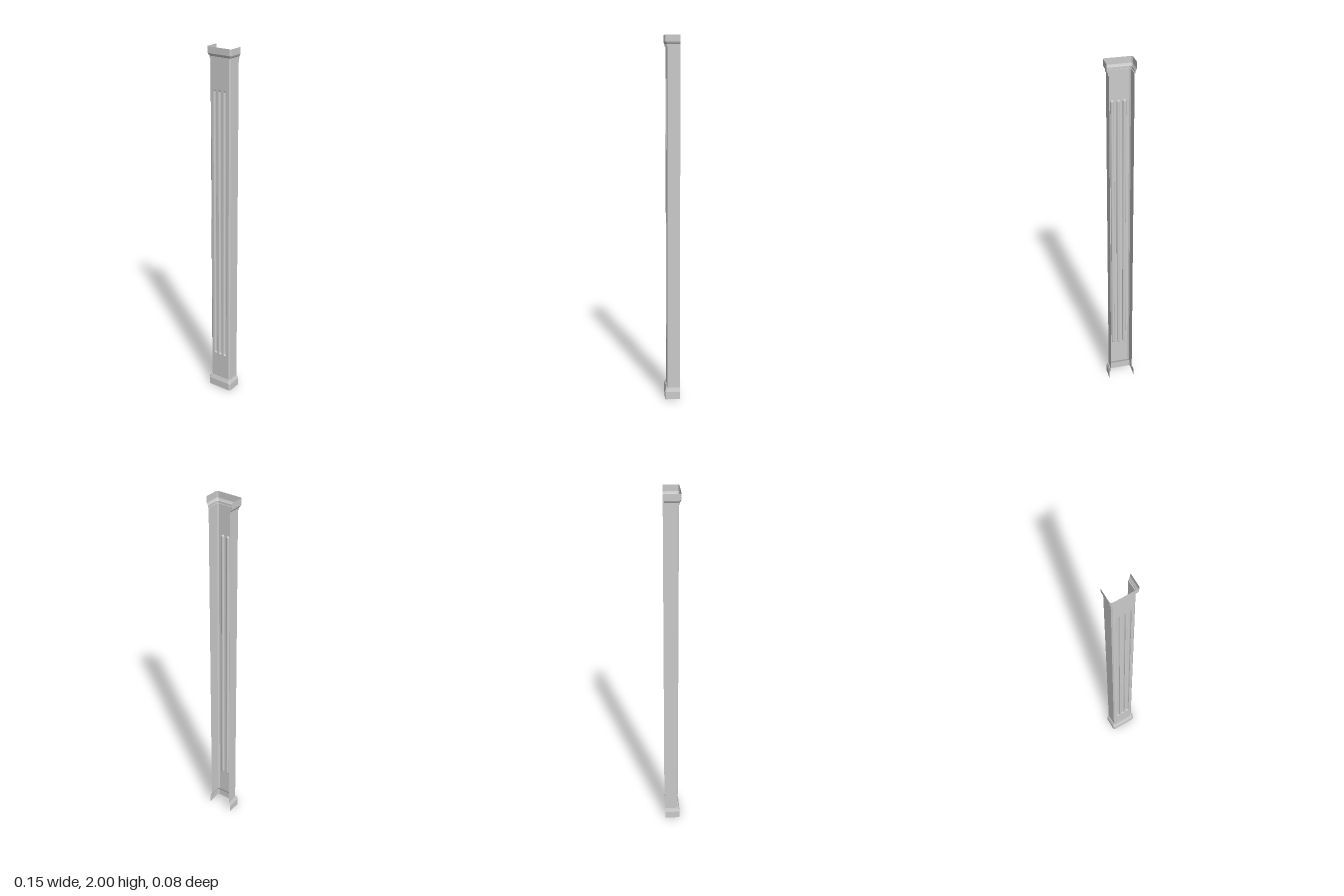
import * as THREE from 'three';

const W = 0.064, FRONT = 0.031, BACK = -0.042, CHAMFER = 0.007;
const SHAFT_BOTTOM = 0.064, SHAFT_TOP = 1.942;
const FLUTE_R = 0.0095, FLUTE_BOTTOM = 0.218, FLUTE_TOP = 1.782;

const material = new THREE.MeshStandardMaterial({ color: 0xcccccc, side: THREE.DoubleSide });

// U-shaped plan, open at the back, grown outward by o
function plan(o) {
  const w = W + o, f = FRONT + o, c = CHAMFER;
  return [[-w, BACK], [-w, f - c], [c - w, f], [w - c, f], [w, f - c], [w, BACK]];
}

// Skin between stacked [offset, y] rows, using the chosen plan segments
function skin(name, rows, segments) {
  const pos = [];
  for (let r = 0; r + 1 < rows.length; r++) {
    const [lo, hi] = [rows[r], rows[r + 1]].map(([o, y]) => plan(o).map(([x, z]) => [x, y, z]));
    for (const s of segments) {
      pos.push(...lo[s], ...lo[s + 1], ...hi[s + 1], ...lo[s], ...hi[s + 1], ...hi[s]);
    }
  }
  const geo = new THREE.BufferGeometry();
  geo.setAttribute('position', new THREE.Float32BufferAttribute(pos, 3));
  geo.computeVertexNormals();
  const mesh = new THREE.Mesh(geo, material);
  mesh.name = name;
  return mesh;
}

export function createModel() {
  const group = new THREE.Group();
  group.name = 'pilaster';
  const all = [0, 1, 2, 3, 4];

  // Moulded base and capital
  group.add(skin('base', [[0.011, 0], [0.011, 0.043], [0.005, 0.06], [0.004, 0.064], [0, 0.064]], all));
  group.add(skin('capital', [[0, 1.942], [0.004, 1.942], [0.004, 1.953], [0.007, 1.957],
    [0.011, 1.966], [0.011, 2]], all));

  // Shaft sides and chamfered corners
  group.add(skin('shaftSides', [[0, SHAFT_BOTTOM], [0, SHAFT_TOP]], [0, 1, 3, 4]));

  // Shaft front with round-ended flute openings
  const half = W - CHAMFER;
  const face = new THREE.Shape();
  face.moveTo(-half, SHAFT_BOTTOM).lineTo(half, SHAFT_BOTTOM);
  face.lineTo(half, SHAFT_TOP).lineTo(-half, SHAFT_TOP).closePath();

  // Half-capsule profile revolved through the back half turn
  const yLo = FLUTE_BOTTOM + FLUTE_R, yHi = FLUTE_TOP - FLUTE_R;
  const outline = new THREE.Path();
  outline.absarc(0, yLo, FLUTE_R, -Math.PI / 2, 0);
  outline.absarc(0, yHi, FLUTE_R, 0, Math.PI / 2);
  const fluteGeo = new THREE.LatheGeometry(outline.getPoints(8), 16, Math.PI / 2, Math.PI);

  for (const x of [-0.032, 0, 0.032]) {
    const hole = new THREE.Path();
    hole.absarc(x, yLo, FLUTE_R, Math.PI, 2 * Math.PI);
    hole.absarc(x, yHi, FLUTE_R, 0, Math.PI);
    hole.closePath();
    face.holes.push(hole);

    const flute = new THREE.Mesh(fluteGeo, material);
    flute.name = 'flute';
    flute.position.set(x, 0, FRONT);
    group.add(flute);
  }

  const front = new THREE.Mesh(new THREE.ShapeGeometry(face, 8), material);
  front.name = 'shaftFront';
  front.position.z = FRONT;
  group.add(front);
  return group;
}
